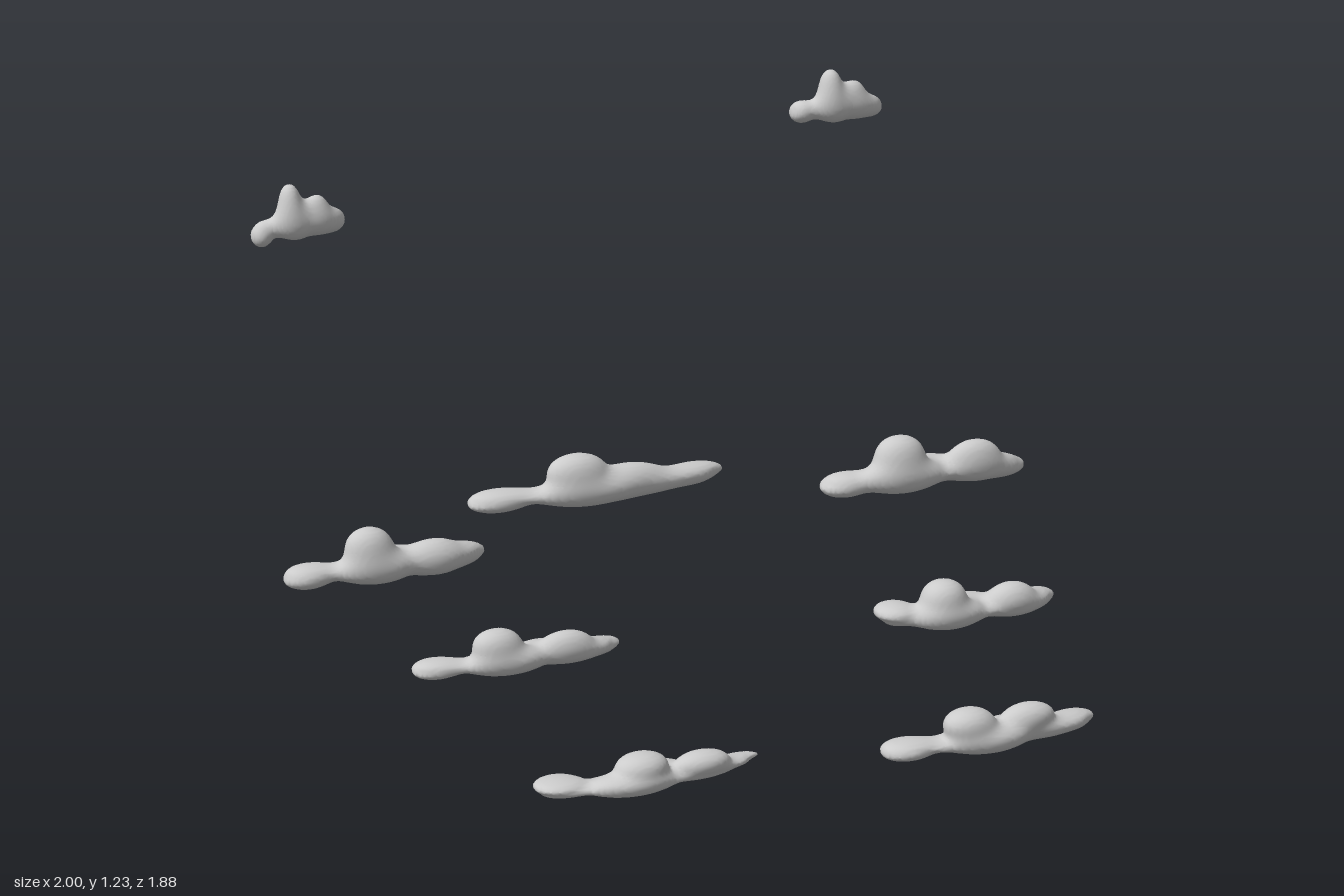
import * as THREE from 'three';

const material = new THREE.MeshStandardMaterial({ color: 0xcccccc });

// One entry per cloud. x: left end, front lobe, tall hump, back lobe, low hump, right end
// y: base, left lobe, tall hump top, low hump top, right tip; z: left lobe, front edge, back edge, right tip
const CLOUDS = [
  { name: 'centreCloud', x: [-0.412, -0.1, -0.13, -0.03, 0.02, 0.285], y: [0.217, 0.247, 0.358, 0.315, 0.262], z: [-0.55, -0.465, -0.62, -0.56] },
  { name: 'middleLeftCloud', x: [0.422, 0.63, 0.625, 0.73, 0.84, 1.0], y: [0.26, 0.288, 0.413, 0.378, 0.287], z: [-0.23, -0.145, -0.3, -0.24] },
  { name: 'middleRightCloud', x: [-1.0, -0.78, -0.8, -0.72, -0.64, -0.505], y: [0.24, 0.27, 0.38, 0.33, 0.277], z: [-0.1, -0.03, -0.172, -0.12] },
  { name: 'nearRightCloud', x: [-0.833, -0.62, -0.645, -0.53, -0.48, -0.34], y: [0.165, 0.19, 0.275, 0.248, 0.19], z: [0.375, 0.452, 0.325, 0.365] },
  { name: 'nearLeftCloud', x: [0.282, 0.45, 0.44, 0.53, 0.62, 0.755], y: [0.14, 0.185, 0.262, 0.232, 0.172], z: [0.405, 0.497, 0.343, 0.393] },
  { name: 'frontRightCloud', x: [-0.71, -0.5, -0.48, -0.43, -0.34, -0.195], y: [0.05, 0.08, 0.14, 0.123, 0.077], z: [0.85, 0.936, 0.793, 0.842], tip: 0.6 },
  { name: 'frontLeftCloud', x: [0.107, 0.36, 0.31, 0.43, 0.46, 0.645], y: [0, 0.026, 0.11, 0.1, 0.032], z: [0.825, 0.897, 0.752, 0.805] },
  { name: 'highRightCloud', x: [-0.895, -0.79, -0.8, -0.77, -0.73, -0.658], y: [0.928, 0.938, 1.07, 1.037, 0.965], z: [-0.74, -0.685, -0.787, -0.75] },
  { name: 'highLeftCloud', x: [0.62, 0.735, 0.725, 0.77, 0.795, 0.888], y: [1.085, 1.114, 1.23, 1.195, 1.115], z: [-0.905, -0.845, -0.947, -0.915] },
];

// Ellipsoid lobes of a cloud: [centre x, y, z, radius x, y, z]
function lobes({ x: [x0, xf, x1, xb, x2, xr], y: [base, yl, top1, top2, yt], z: [zl, zf, zb, zt], tip = 1 }) {
  const w = xr - x0, h = top1 - base, d = zf - zb, zm = (zf + zb) / 2;
  return [
    [x0 + 0.1 * w, yl, zl, 0.1 * w, 0.18 * h, 0.32 * d],                        // left lobe
    [x0 + 0.43 * w, base + 0.26 * h, zm + 0.06 * d, 0.34 * w, 0.16 * h, 0.28 * d], // body
    [xf, base + 0.32 * h, zf - 0.29 * d, 0.16 * w, 0.28 * h, 0.28 * d],         // front lobe
    [x1, top1 - 0.32 * h, zf - 0.36 * d, 0.11 * w, 0.31 * h, 0.3 * d],          // tall hump
    [xb, base + 0.27 * h, zb + 0.28 * d, 0.115 * w, 0.2 * h, 0.27 * d],         // back lobe
    [x2, top2 - 0.29 * h, zm + 0.12 * d, 0.115 * w, 0.28 * h, 0.24 * d],        // low hump
    [xr - 0.22 * w, (yt + base + 0.3 * h) / 2, zm + 0.06 * d, 0.14 * w, 0.17 * h * tip, 0.22 * d * tip], // right arm
    [xr - 0.09 * w, yt, zt, 0.09 * w, 0.14 * h * tip, 0.21 * d * tip],          // right tip
  ];
}

// Smooth union of the lobes, negative inside
function fieldOf(parts, blend) {
  return (x, y, z) => {
    let f = 1e3;
    for (const [cx, cy, cz, rx, ry, rz] of parts) {
      const a = (x - cx) / rx, b = (y - cy) / ry, c = (z - cz) / rz;
      const k0 = Math.hypot(a, b, c), k1 = Math.hypot(a / rx, b / ry, c / rz);
      const s = k1 < 1e-9 ? -Math.min(rx, ry, rz) : k0 * (k0 - 1) / k1;
      const m = Math.max(blend - Math.abs(f - s), 0) / blend;
      f = Math.min(f, s) - m * m * blend / 4;
    }
    return f;
  };
}

// Smooth skin over a field: one vertex per crossed grid cell, one quad per crossed grid edge
function skin(field, min, max, n) {
  const size = n.map((v) => v + 1), step = n.map((v, a) => (max[a] - min[a]) / v);
  const stride = [1, size[0], size[0] * size[1]];
  const id = (i, j, k) => i + j * stride[1] + k * stride[2];
  const values = new Float32Array(size[0] * size[1] * size[2]);
  const each = (lim, fn) => {
    for (let k = 0; k < lim[2]; k++)
      for (let j = 0; j < lim[1]; j++)
        for (let i = 0; i < lim[0]; i++) fn(i, j, k);
  };
  each(size, (i, j, k) => {
    values[id(i, j, k)] = field(min[0] + i * step[0], min[1] + j * step[1], min[2] + k * step[2]);
  });

  const positions = [], index = [], vertexAt = new Map();
  each(n, (i, j, k) => {
    const sum = [0, 0, 0], cell = [i, j, k], start = id(i, j, k);
    let count = 0;
    for (let corner = 0; corner < 8; corner++) {
      const bits = [corner & 1, (corner >> 1) & 1, corner >> 2];
      const p = start + bits[0] + bits[1] * stride[1] + bits[2] * stride[2];
      for (let a = 0; a < 3; a++) {
        if (bits[a]) continue;
        const u = values[p], v = values[p + stride[a]];
        if ((u < 0) === (v < 0)) continue;
        for (let c = 0; c < 3; c++) sum[c] += bits[c] + (c === a ? u / (u - v) : 0);
        count++;
      }
    }
    if (!count) return;
    vertexAt.set(start, positions.length / 3);
    for (let c = 0; c < 3; c++) positions.push(min[c] + (cell[c] + sum[c] / count) * step[c]);
  });
  each(n, (i, j, k) => {
    const p = id(i, j, k);
    for (let a = 0; a < 3; a++) {
      const inside = values[p] < 0;
      if (inside === (values[p + stride[a]] < 0)) continue;
      const b = stride[(a + 1) % 3], c = stride[(a + 2) % 3];
      const q = [p - b - c, p - c, p, p - b].map((v) => vertexAt.get(v));
      if (!inside) q.reverse();
      index.push(q[0], q[1], q[2], q[0], q[2], q[3]);
    }
  });

  const geometry = new THREE.BufferGeometry();
  geometry.setAttribute('position', new THREE.Float32BufferAttribute(positions, 3));
  geometry.setIndex(index);
  geometry.computeVertexNormals();
  return geometry;
}

export function createModel() {
  const model = new THREE.Group();
  model.name = 'clouds';
  for (const cloud of CLOUDS) {
    const parts = lobes(cloud), pad = 0.03;
    const min = [0, 1, 2].map((a) => Math.min(...parts.map((p) => p[a] - p[a + 3])) - pad);
    const max = [0, 1, 2].map((a) => Math.max(...parts.map((p) => p[a] + p[a + 3])) + pad);
    const blend = 0.27 * (cloud.y[2] - cloud.y[0]);
    const mesh = new THREE.Mesh(skin(fieldOf(parts, blend), min, max, [64, 30, 30]), material);
    mesh.name = cloud.name;
    model.add(mesh);
  }
  return model;
}
